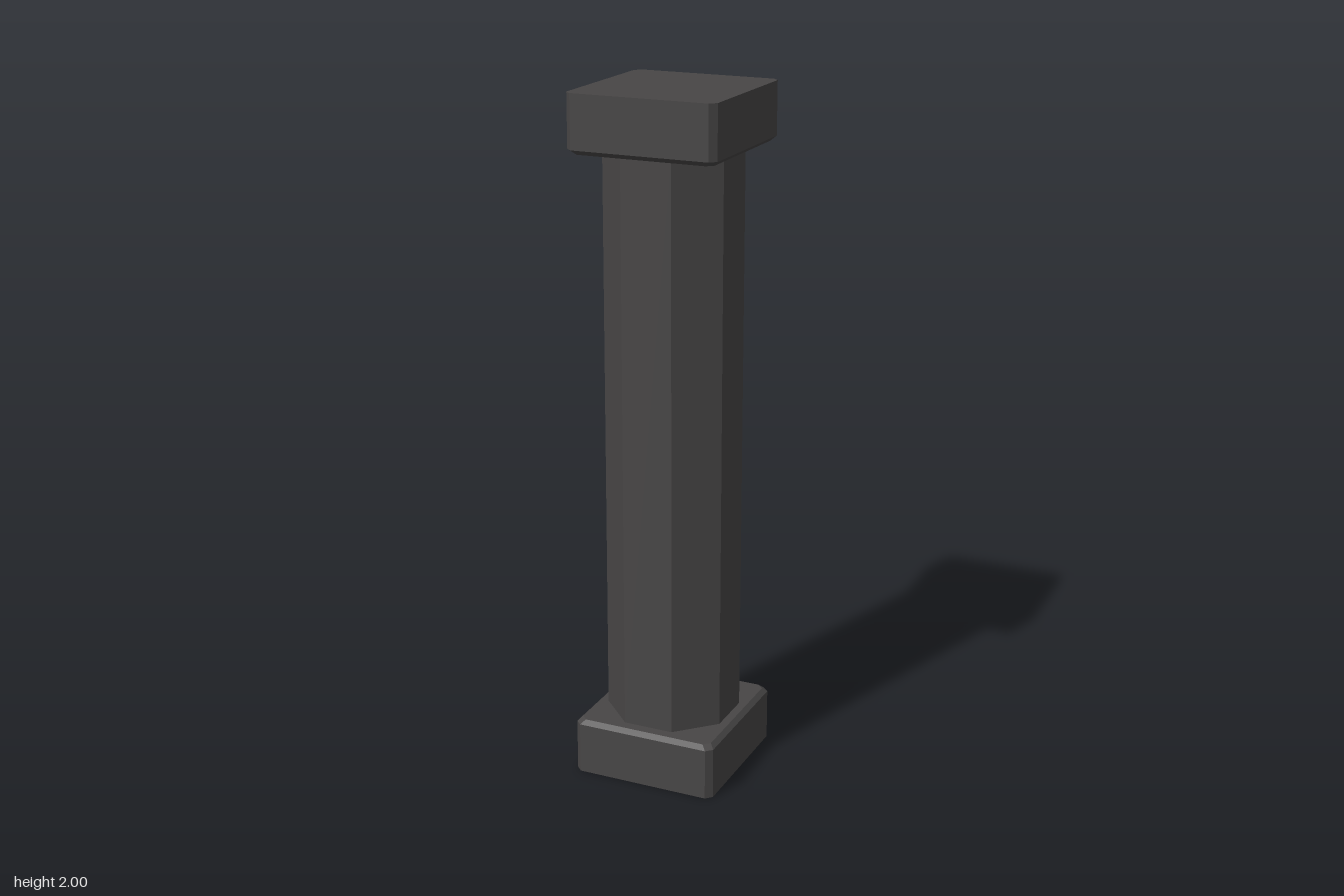
import * as THREE from 'three';

const HALF_X = 0.218, HALF_Z = 0.224, CHAMFER = 0.018;
const BLOCK_H = 0.165, BEVEL = 0.013, HEIGHT = 2;

// Rectangle with cut corners, at height y, shrunk by inset
function ring(y, inset) {
  const x = HALF_X - inset, z = HALF_Z - inset, c = CHAMFER;
  return [
    [x, z - c], [x, c - z], [x - c, -z], [c - x, -z],
    [-x, c - z], [-x, z - c], [c - x, z], [x - c, z],
  ].map(([px, pz]) => new THREE.Vector3(px, y, pz));
}

// Block with cut corners and a bevel around its upper edge
function blockGeometry() {
  const rings = [ring(0, 0), ring(BLOCK_H - BEVEL, 0), ring(BLOCK_H, BEVEL)];
  const points = [];
  for (let r = 0; r < rings.length - 1; r++) {
    const lo = rings[r], hi = rings[r + 1];
    for (let i = 0; i < 8; i++) {
      const j = (i + 1) % 8;
      points.push(lo[i], lo[j], hi[j], lo[i], hi[j], hi[i]);
    }
  }
  const bottom = rings[0], top = rings[2];
  for (let i = 1; i < 7; i++) {
    points.push(top[0], top[i], top[i + 1], bottom[0], bottom[i + 1], bottom[i]);
  }
  const geometry = new THREE.BufferGeometry().setFromPoints(points);
  geometry.computeVertexNormals();
  return geometry;
}

export function createModel() {
  const group = new THREE.Group();
  group.name = 'column';
  const stone = new THREE.MeshStandardMaterial({ color: 0x484646, flatShading: true });

  const add = (name, geometry, y) => {
    const mesh = new THREE.Mesh(geometry, stone);
    mesh.name = name;
    mesh.position.y = y;
    group.add(mesh);
    return mesh;
  };

  // Base and the same block upside down as the capital
  const block = blockGeometry();
  add('base', block, 0);
  add('capital', block, HEIGHT).rotation.x = Math.PI;

  // Eight-sided shaft with flat faces to the front and sides
  const shaft = new THREE.CylinderGeometry(0.195, 0.195, HEIGHT - 2 * BLOCK_H, 8, 1, true);
  shaft.rotateY(Math.PI / 8);
  add('shaft', shaft, HEIGHT / 2);

  return group;
}
